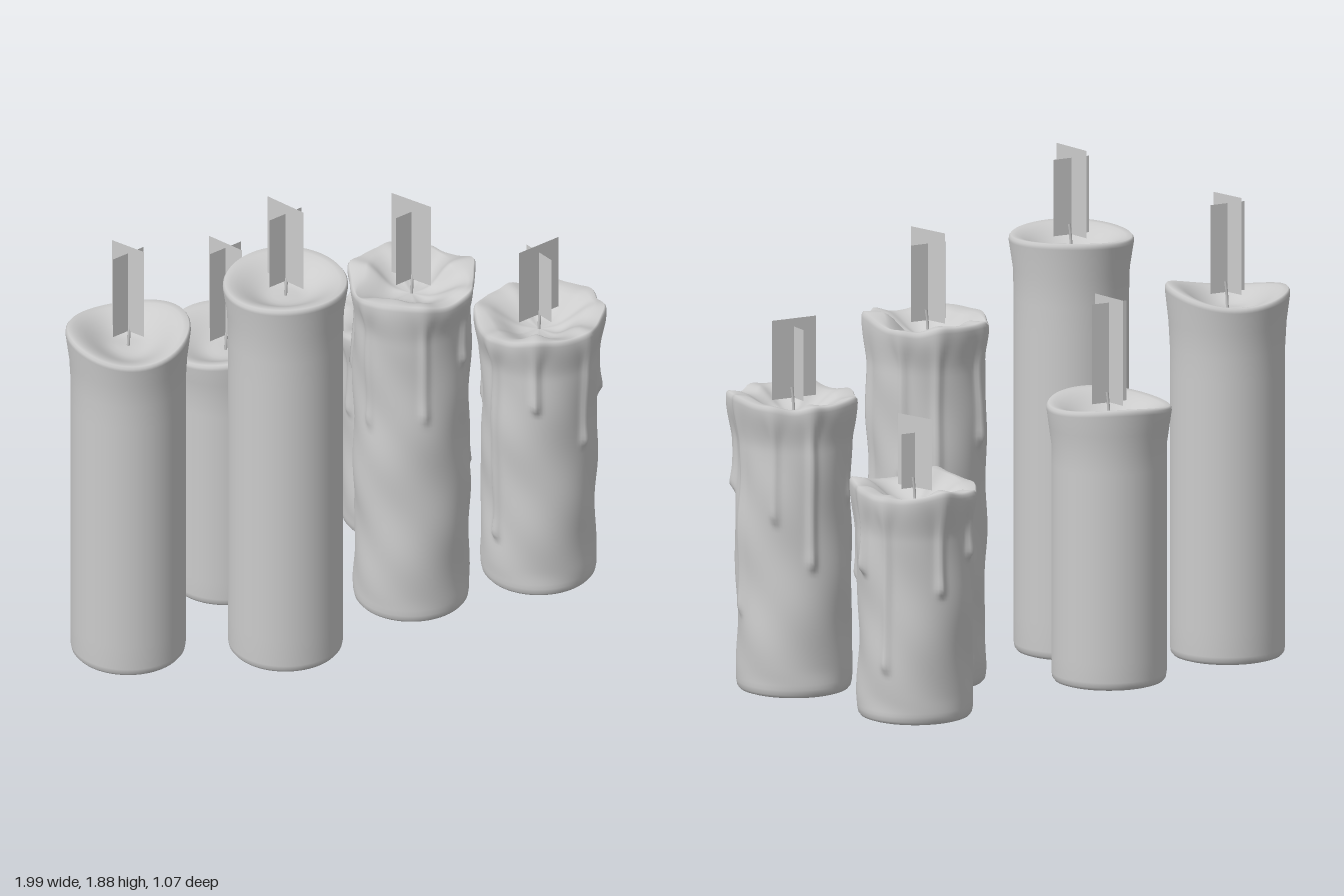
import * as THREE from 'three';
import { mergeVertices } from 'three/addons/utils/BufferGeometryUtils.js';

const TAU = Math.PI * 2;
const wax = new THREE.MeshStandardMaterial({ color: 0xcccccc });
const thin = new THREE.MeshStandardMaterial({ color: 0xcccccc, side: THREE.DoubleSide });

const smooth = (a, b, v) => THREE.MathUtils.smoothstep(v, a, b);
const bell = (d, w) => Math.exp(-(d * d) / (w * w));
// signed shortest angle between two directions
const turn = (a, b) => Math.atan2(Math.sin(a - b), Math.cos(a - b));

// Side, rim and hollow of a candle of height h, from the foot up and inward
function profile(h, rows) {
  const points = [[0, 0], [0.183, 0], [0.195, 0.004], [0.203, 0.014]];
  for (let i = 0; i <= rows; i++) {
    const y = 0.032 + (h - 0.052) * (i / rows);
    points.push([0.206 + 0.018 * smooth(h - 0.16, h - 0.02, y), y]);
  }
  points.push([0.223, h - 0.008], [0.217, h]);
  const rimIndex = points.length - 1;
  // bowl falling from the rim to the wick
  for (let i = 1; i <= 10; i++) {
    const t = i / 10;
    points.push([0.217 * (1 - t), h - 0.064 * smooth(0, 0.75, t)]);
  }
  return { points, rimIndex };
}

// Turned wax body whose vertices are moved for rim waves, lumps and drips
function waxBody(h, y0, rim, drips, seed) {
  const dripping = drips.length > 0;
  const segments = dripping ? 128 : 64;
  const { points, rimIndex } = profile(h, dripping ? 60 : 14);
  const geo = new THREE.LatheGeometry(points.map((p) => new THREE.Vector2(...p)), segments);
  const pos = geo.attributes.position;
  const lobes = dripping ? 3 : 2;
  for (let i = 0; i < pos.count; i++) {
    const row = i % points.length;
    const a = (Math.floor(i / points.length) / segments) * TAU;
    const inside = row > rimIndex;
    let [r, y] = points[row];
    const rimWeight = inside ? smooth(0, 0.2, r) : smooth(h - 0.14, h, y);
    let lift = rim[0] * (Math.cos(lobes * a + rim[1]) + 0.5 * Math.cos(a - 1.5));
    if (dripping && inside) {
      // uneven edge of the melted pool
      r *= 1 + smooth(0.03, 0.16, r) * (1 - smooth(0.195, 0.217, r)) *
        (0.07 * Math.cos(5 * a + seed) + 0.05 * Math.cos(3 * a + 2 * seed) - 0.04);
    } else if (dripping) {
      // gentle lumps on the side
      r += 0.003 * smooth(0, 0.1, y) *
        (Math.sin(3 * a + 7 * y + seed) + Math.sin(2 * a - 13 * y) + 0.7 * Math.sin(5 * a + 21 * y));
    }
    let bulge = 0;
    drips.forEach(([angle, end], k) => {
      const d = turn(a, angle);
      const thick = 0.014 + 0.004 * Math.sin(2.4 * k + seed);
      const above = y + y0 - end;
      const run = smooth(-0.025, 0.015, above) * (1 + 0.35 * bell(above - 0.02, 0.04));
      const width = 0.075 + 0.1 * smooth(h - 0.13, h, y);
      bulge = Math.max(bulge, inside
        ? thick * smooth(0.18, 0.217, r) * bell(d, 0.175)
        : thick * run * bell(d, width));
      lift += 0.9 * thick * bell(d, 0.2);
    });
    r += bulge;
    pos.setXYZ(i, r * Math.sin(a), y + lift * rimWeight, r * Math.cos(a));
  }
  geo.deleteAttribute('uv');
  geo.deleteAttribute('normal');
  const merged = mergeVertices(geo, 1e-5);
  merged.computeVertexNormals();
  return merged;
}

function part(name, geometry, material) {
  const mesh = new THREE.Mesh(geometry, material);
  mesh.name = name;
  return mesh;
}

// rim: wave height and phase; cards: [width, top, yaw] each; drips: [angle from the front, lower end] each
function candle(name, x, z, top, rim, cards, drips = []) {
  const g = new THREE.Group();
  g.name = name;
  g.position.set(x, 0, z);

  const y0 = drips.length ? 0 : 0.04;
  const body = part('waxBody', waxBody(top - y0, y0, rim, drips, 9 * x), wax);
  body.position.y = y0;
  g.add(body);

  // slightly bent wick
  const low = top - 0.075;
  const path = new THREE.CatmullRomCurve3([
    new THREE.Vector3(0, low, 0),
    new THREE.Vector3(0.002, low + 0.06, 0.002),
    new THREE.Vector3(0.008, low + 0.11, 0),
  ]);
  g.add(part('wick', new THREE.TubeGeometry(path, 8, 0.006, 6), wax));

  // two crossed upright flame cards
  const bottom = top - 0.005;
  for (const [width, cardTop, yaw] of cards) {
    const card = part('flameCard', new THREE.PlaneGeometry(width, cardTop - bottom), thin);
    card.position.y = (cardTop + bottom) / 2;
    card.rotation.y = yaw;
    g.add(card);
  }
  return g;
}

export function createModel() {
  const model = new THREE.Group();
  model.name = 'candles';
  model.add(
    candle('smoothCandleMedium', -0.77, -0.13, 1.37, [0.02, 3.9], [[0.14, 1.69, 0], [0.14, 1.72, 1.85]]),
    candle('smoothCandleTall', -0.315, 0.2, 1.565, [0.006, 1], [[0.145, 1.84, 0], [0.17, 1.88, 1.75]]),
    candle('smoothCandleShort', -0.2, -0.29, 1.06, [0.012, 0.3], [[0.14, 1.42, 0], [0.155, 1.44, 1.77]]),
    candle('drippingCandleTall', 0.29, 0.16, 1.325, [0.014, 2.8], [[0.14, 1.6, 0], [0.17, 1.65, 1.87]],
      [[0.44, 1.03], [-0.44, 0.85], [1.25, 0.5], [2.18, 0.78], [2.8, 0.7], [-2.6, 0.9], [-1.5, 0.8]]),
    candle('drippingCandleShort', 0.59, -0.29, 0.835, [0.014, -3.2], [[0.11, 1.03, 0], [0.16, 1.09, 1.93]],
      [[0.96, 0.5], [1.62, 0.55], [2.12, 0.2], [3.1, 0.48], [-0.8, 0.6], [-1.7, 0.5], [-2.5, 0.6]]),
    candle('drippingCandleMedium', 0.76, 0.3, 1.065, [0.01, 1.5], [[0.18, 1.35, 0], [0.14, 1.32, 1.59]],
      [[-0.73, 0.78], [0.24, 0.6], [1.5, 0.3], [1.02, 0.73], [2.3, 0.65], [2.95, 0.48], [-1.5, 0.22], [-2.4, 0.7]]),
  );
  return model;
}
